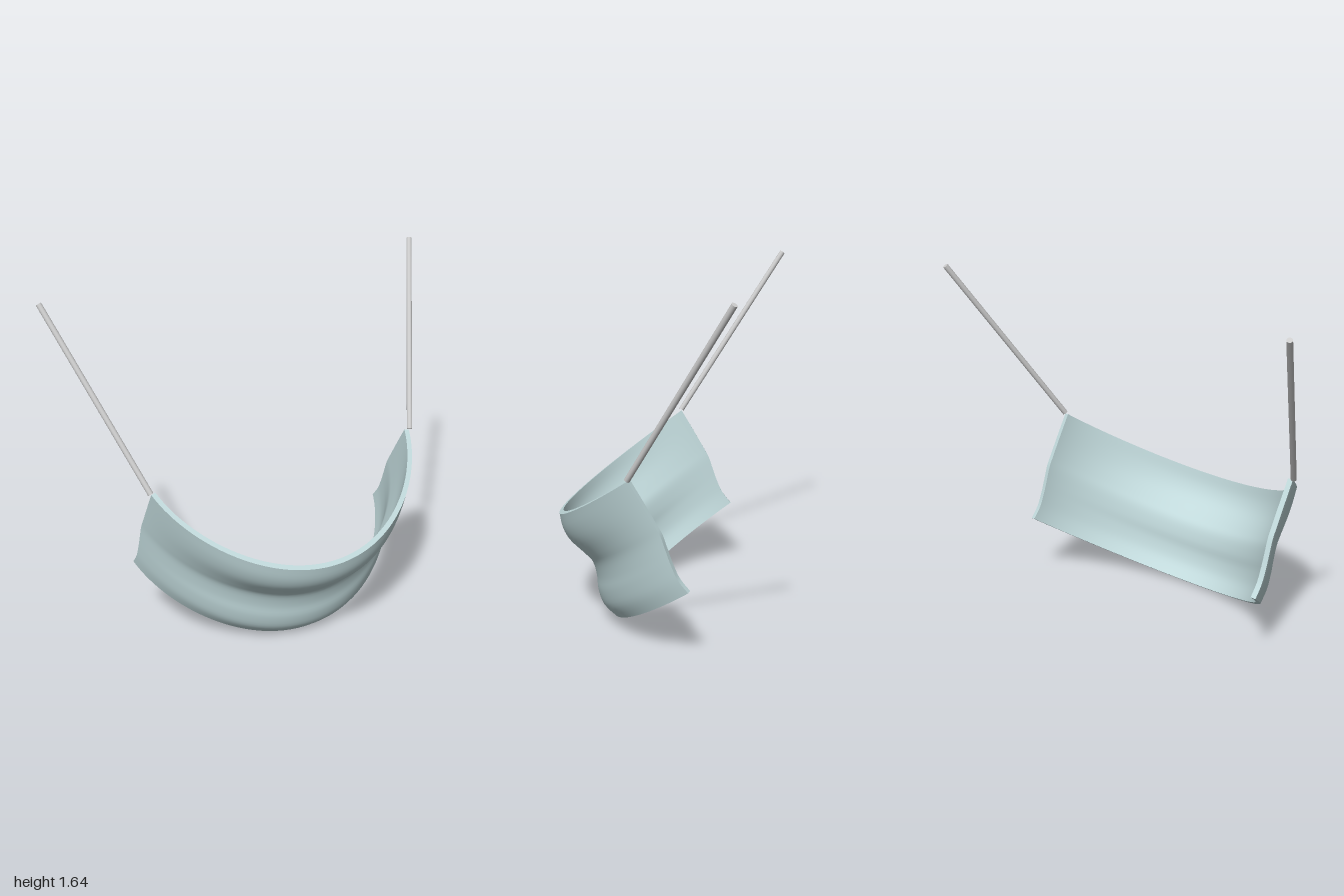
import * as THREE from 'three';
import { toCreasedNormals } from 'three/addons/utils/BufferGeometryUtils.js';

const HALF = 0.7, DEPTH = 0.57, THICK = 0.024;
const vec = (p) => new THREE.Vector2(p[0], p[1]);

// Cross-sections as (distance down the band, bulge outwards): middle and ends
const middle = new THREE.SplineCurve([[0, 0], [0.065, 0.029], [0.134, 0.036], [0.224, 0.014],
  [0.28, 0.006], [0.348, 0.03], [0.408, 0.066], [0.479, 0.087], [0.552, 0.072]].map(vec));
const end = new THREE.SplineCurve([[0, 0], [0.065, 0.005], [0.134, 0.0106], [0.224, 0.019],
  [0.28, 0.025], [0.348, 0.045], [0.408, 0.062], [0.479, 0.076], [0.552, 0.072]].map(vec));

// How far the band has swept back at a given x: between an arc and a parabola
function sweep(x) {
  const r = (HALF * HALF + DEPTH * DEPTH) / (2 * DEPTH);
  const arc = r - Math.sqrt(r * r - x * x);
  return 0.75 * arc + 0.25 * DEPTH * (x / HALF) ** 2;
}

// Tilt the band: w runs down and back, d runs forward and down
const place = (x, w, d) => [x, 0.492 - 0.81 * w - 0.585 * d, 0.48 - 0.585 * w + 0.81 * d];

function bandGeometry() {
  const nx = 56, nv = 32, ring = 2 * (nv + 1);
  const pos = [], index = [];
  for (let i = 0; i <= nx; i++) {
    const x = HALF * Math.sin((i / nx - 0.5) * Math.PI);
    const k = 0.0005;
    const xi = THREE.MathUtils.clamp(x, -HALF + k, HALF - k);
    const slope = (sweep(xi + k) - sweep(xi - k)) / (2 * k);
    const len = Math.hypot(1, slope);
    const blend = Math.abs(x / HALF) ** 3;
    for (let j = 0; j < ring; j++) {
      const inner = j > nv;
      const t = (inner ? ring - 1 - j : j) / nv;
      const p = middle.getPoint(t).lerp(end.getPoint(t), blend);
      const off = inner ? THICK : 0;
      pos.push(...place(x - off * slope / len, p.x, p.y - sweep(x) - off / len));
    }
  }
  // Skin around the cross-section
  for (let i = 0; i < nx; i++) {
    for (let j = 0; j < ring; j++) {
      const a = i * ring + j, b = i * ring + (j + 1) % ring;
      index.push(a, b, a + ring, b, b + ring, a + ring);
    }
  }
  // Caps on both ends
  for (let j = 0; j < nv; j++) {
    const k = ring - 1 - j, e = nx * ring;
    index.push(e + j, e + j + 1, e + k, e + j + 1, e + k - 1, e + k);
    index.push(j, k, j + 1, j + 1, k, k - 1);
  }
  const g = new THREE.BufferGeometry();
  g.setAttribute('position', new THREE.Float32BufferAttribute(pos, 3));
  g.setIndex(index);
  return toCreasedNormals(g, 0.9);
}

// Straight rod between two points
function rod(from, to, radius, material) {
  const dir = to.clone().sub(from);
  const mesh = new THREE.Mesh(new THREE.CylinderGeometry(radius, radius, dir.length(), 16), material);
  mesh.position.copy(from).addScaledVector(dir, 0.5);
  mesh.quaternion.setFromUnitVectors(new THREE.Vector3(0, 1, 0), dir.normalize());
  return mesh;
}

export function createModel() {
  const group = new THREE.Group();
  const cloth = new THREE.MeshStandardMaterial({ color: 0xc0d8da });
  const grey = new THREE.MeshStandardMaterial({ color: 0xcccccc });

  // Curved, grooved band
  const band = new THREE.Mesh(bandGeometry(), cloth);
  band.name = 'band';
  group.add(band);

  // Cords rising from the upper corners
  for (const side of [1, -1]) {
    const cord = rod(new THREE.Vector3(side * 0.703, 0.83, 0.02),
      new THREE.Vector3(side * 0.988, 1.635, -0.468), 0.0135, grey);
    cord.name = side > 0 ? 'leftCord' : 'rightCord';
    group.add(cord);
  }
  return group;
}
